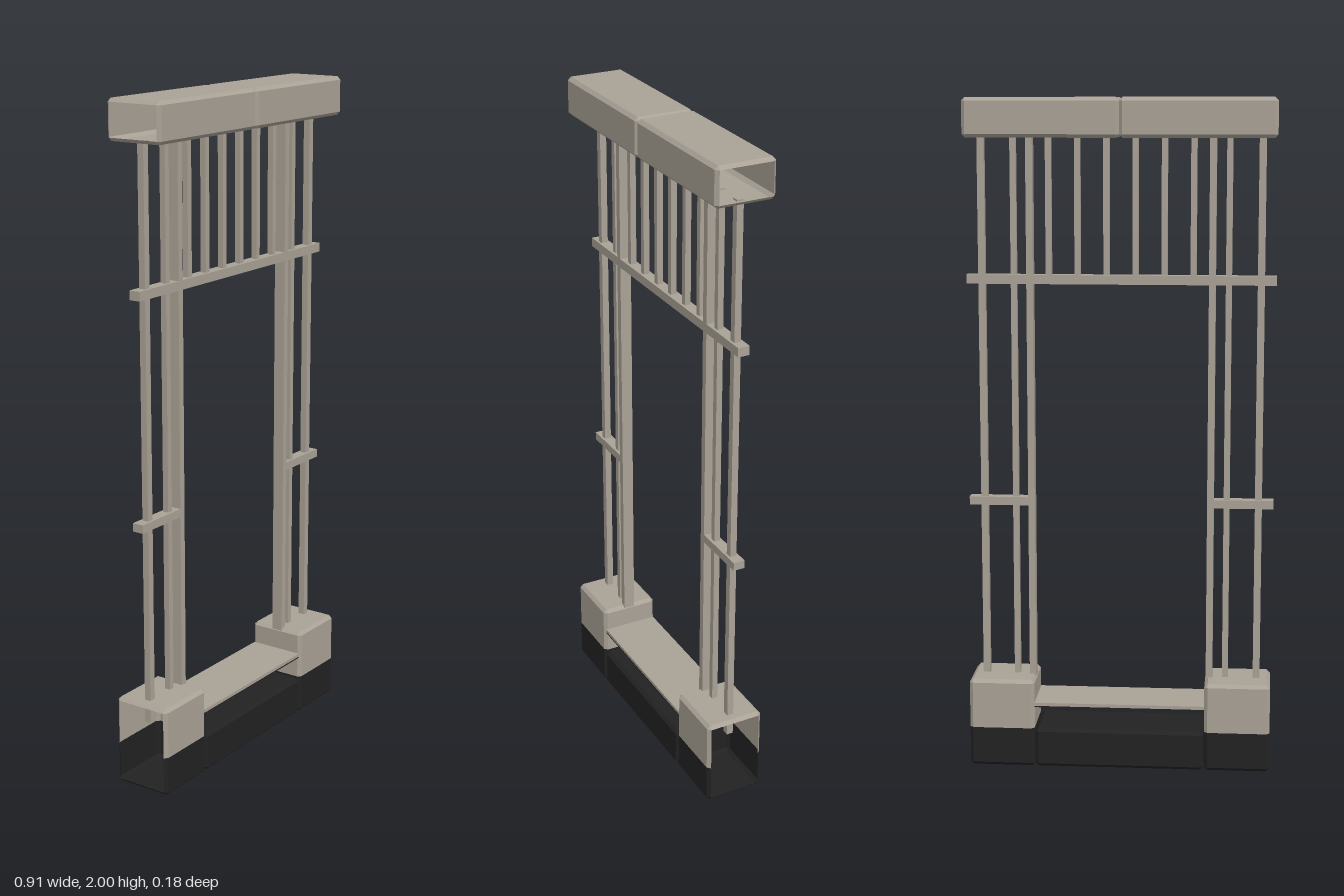
import * as THREE from 'three';

const HZ = 0.09; // half depth of the beams and plinths
const C = 0.01;  // chamfer

const stone = new THREE.MeshStandardMaterial({ color: 0xaaa296, side: THREE.DoubleSide });
stone.name = 'warm grey';
const black = new THREE.MeshStandardMaterial({ color: 0x222222, side: THREE.DoubleSide });
black.name = 'black';

// Half outlines in the z-y plane: [z, y, inset z, inset y]
const topHalf = (low, high) => [
  [-HZ, low, -HZ + C, low], [-HZ, high - C, -HZ + C, high - C], [-HZ + C, high, -HZ + C, high - C],
  [HZ - C, high, HZ - C, high - C], [HZ, high - C, HZ - C, high - C], [HZ, low, HZ - C, low],
];
const bottomHalf = (low, high) => [
  [HZ, high, HZ - C, high], [HZ, low + C, HZ - C, low + C], [HZ - C, low, HZ - C, low + C],
  [-HZ + C, low, -HZ + C, low + C], [-HZ, low + C, -HZ + C, low + C], [-HZ, high, -HZ + C, high],
];

// Chamfered hollow shell along x; the end at x1 may be left open
function shell(name, outline, x0, x1, material, openEnd) {
  const p = [];
  const tri = (a, b, c) => p.push(...a, ...b, ...c);
  const full = (x) => outline.map((o) => [x, o[1], o[0]]);
  const inset = (x) => outline.map((o) => [x, o[3], o[2]]);
  const rings = [inset(x0), full(x0 + C), full(x1 - C), inset(x1)];
  for (let r = 0; r < 3; r++) {
    for (let i = 0; i < outline.length - 1; i++) {
      const a = rings[r][i], b = rings[r + 1][i], c = rings[r + 1][i + 1], d = rings[r][i + 1];
      tri(a, c, b);
      tri(a, d, c);
    }
  }
  for (let i = 1; i < outline.length - 1; i++) {
    tri(rings[0][0], rings[0][i + 1], rings[0][i]);
    if (!openEnd) tri(rings[3][0], rings[3][i], rings[3][i + 1]);
  }
  // Drop the triangles collapsed by the chamfer, and make all faces point outwards
  const out = [];
  const mid = new THREE.Vector3((x0 + x1) / 2, (outline[0][1] + outline[2][1]) / 2, 0);
  for (let i = 0; i < p.length; i += 9) {
    const [a, b, c] = [0, 3, 6].map((k) => new THREE.Vector3().fromArray(p, i + k));
    const n = b.clone().sub(a).cross(c.clone().sub(a));
    if (n.length() < 1e-9) continue;
    const flip = n.dot(a.clone().sub(mid)) < 0;
    for (const v of flip ? [a, c, b] : [a, b, c]) out.push(v.x, v.y, v.z);
  }
  const g = new THREE.BufferGeometry();
  g.setAttribute('position', new THREE.Float32BufferAttribute(out, 3));
  g.computeVertexNormals();
  const m = new THREE.Mesh(g, material);
  m.name = name;
  return m;
}

// Box given by its limits in x and y, and its depth
function bar(name, x0, x1, y0, y1, depth, material = stone) {
  const m = new THREE.Mesh(new THREE.BoxGeometry(x1 - x0, y1 - y0, depth), material);
  m.position.set((x0 + x1) / 2, (y0 + y1) / 2, 0);
  m.name = name;
  return m;
}

// One side of the gateway, on +x
function buildSide(name) {
  const side = new THREE.Group();
  side.name = name;
  // Plinth with a black foot, hollow and open on the outer end
  side.add(shell('plinthTop', topHalf(0.12, 0.27), 0.256, 0.453, stone, true));
  side.add(shell('plinthFoot', bottomHalf(0, 0.12), 0.256, 0.453, black, true));
  // Half of the lintel, hollow and open on the outer end
  side.add(shell('lintelTop', topHalf(1.94, 2), 0, 0.453, stone, true));
  side.add(shell('lintelBottom', bottomHalf(1.885, 1.94), 0, 0.453, stone, true));
  // Uprights
  side.add(bar('doorPost', 0.258, 0.278, 0.2, 1.89, 0.035));
  side.add(bar('innerPost', 0.307, 0.325, 0.2, 1.89, 0.018));
  side.add(bar('outerPost', 0.4, 0.421, 0.2, 1.89, 0.02));
  // Short middle rail
  side.add(bar('middleRail', 0.27, 0.455, 0.795, 0.82, 0.035));
  return side;
}

export function createModel() {
  const model = new THREE.Group();
  model.name = 'gateway';

  const left = buildSide('leftSide');
  const right = buildSide('rightSide');
  right.rotation.y = Math.PI;
  model.add(left, right);

  // Upper rail and its balusters
  model.add(bar('upperRail', -0.455, 0.455, 1.46, 1.487, 0.035));
  for (let i = 0; i < 6; i++) {
    const x = (i - 2.5) * 0.085;
    model.add(bar('baluster', x - 0.009, x + 0.009, 1.48, 1.89, 0.018));
  }

  // Threshold: black sill below, thin tread above with a dark underside
  model.add(shell('sillTop', topHalf(0.06, 0.12), -0.254, 0.254, black, false));
  model.add(shell('sillBottom', bottomHalf(0, 0.06), -0.254, 0.254, black, false));
  model.add(bar('tread', -0.256, 0.256, 0.19, 0.2, 0.17));
  model.add(bar('treadUnderside', -0.256, 0.256, 0.186, 0.19, 0.17, black));

  return model;
}
